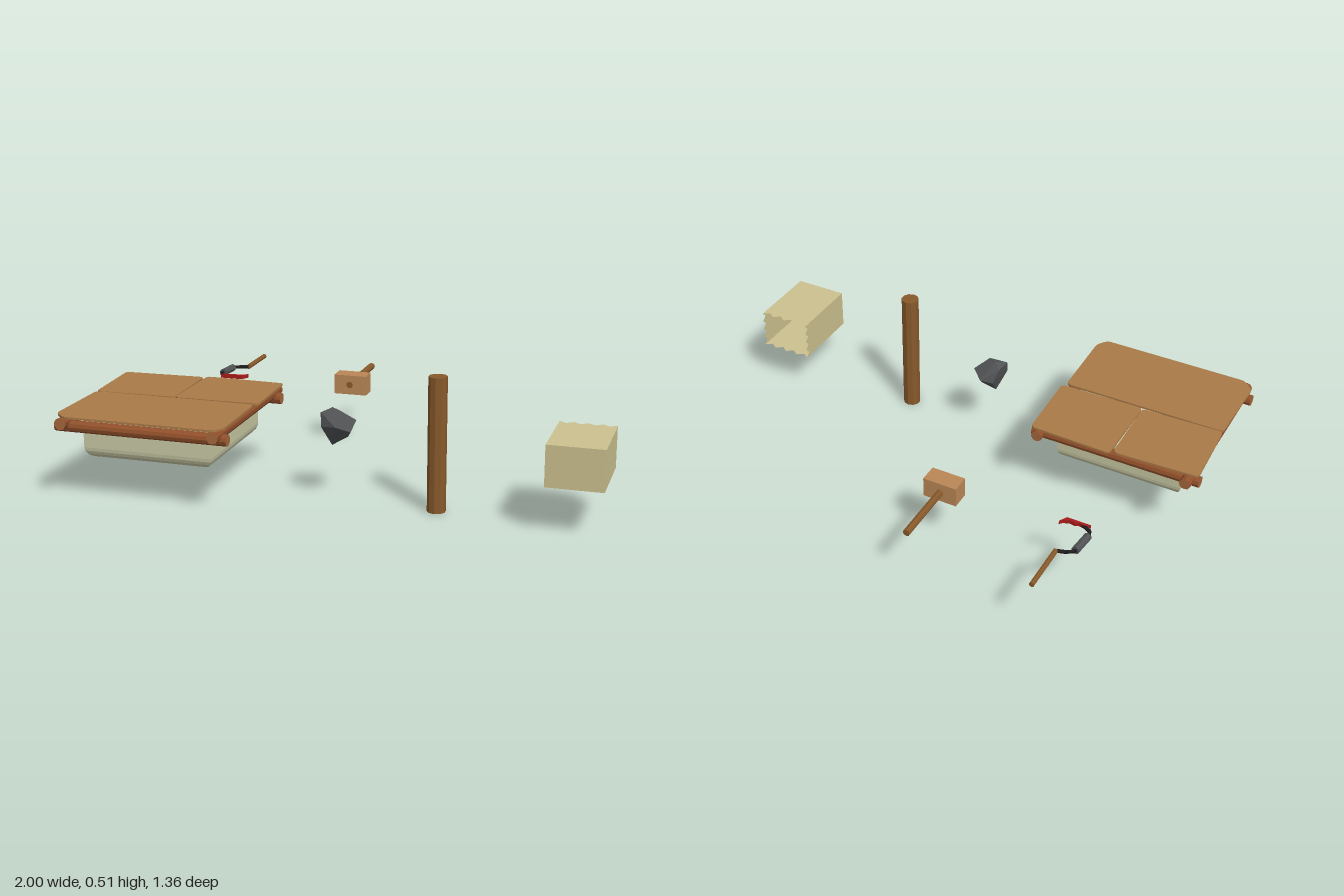
import * as THREE from 'three';
import { ConvexGeometry } from 'three/addons/geometries/ConvexGeometry.js';

const V = (x, y, z) => new THREE.Vector3(x, y, z);
const paint = (color, side = THREE.FrontSide) =>
  new THREE.MeshStandardMaterial({ color, side, flatShading: true });

export function createModel() {
  const model = new THREE.Group();
  const add = (name, geometry, material, parent = model) => {
    const mesh = new THREE.Mesh(geometry, material);
    mesh.name = name;
    parent.add(mesh);
    return mesh;
  };
  const group = (name) => {
    const g = new THREE.Group();
    g.name = name;
    model.add(g);
    return g;
  };
  // Faceted round bar between two points
  const rod = (name, a, b, r, material, parent, sides = 8) => {
    const mesh = add(name, new THREE.CylinderGeometry(r, r, a.distanceTo(b), sides), material, parent);
    mesh.position.copy(a).add(b).multiplyScalar(0.5);
    mesh.quaternion.setFromUnitVectors(V(0, 1, 0), b.clone().sub(a).normalize());
    return mesh;
  };

  const logWood = paint(0x91502b);
  const logEnd = paint(0xa5673d);
  const boardWood = paint(0xaa7a47);
  const poleWood = paint(0x87592b);
  const headWood = paint(0xba8756);
  const tubColor = paint(0xc8c8a4, THREE.DoubleSide);
  const boxColor = paint(0xcbc08e, THREE.DoubleSide);
  const iron = paint(0x505254);
  const black = paint(0x1c1c1e);
  const red = paint(0xa81c1c, THREE.DoubleSide);

  // Covered tub: log frame
  const table = group('coveredTub');
  const barkAndEnds = [logWood, logEnd, logEnd];
  for (const z of [0.06, 0.625])
    rod('crossLog', V(-1, 0.293, z), V(-0.325, 0.293, z), 0.022, barkAndEnds, table, 10);
  for (const x of [-0.96, -0.365])
    rod('sideLog', V(x, 0.311, 0), V(x, 0.311, 0.675), 0.022, barkAndEnds, table, 10);

  // Tub: square basin with a rounded bottom edge
  const profile = [new THREE.Vector2(0, 0.157)];
  for (let i = 0; i <= 5; i++) {
    const a = (i / 5) * Math.PI / 2;
    profile.push(new THREE.Vector2(0.455 + 0.045 * Math.sin(a) * 2, 0.2 - 0.043 * Math.cos(a)));
  }
  const rim = profile[profile.length - 1].x;
  profile.push(new THREE.Vector2(rim, 0.31));
  const basin = new THREE.LatheGeometry(profile, 4, Math.PI / 4);
  basin.scale(0.505 / (rim * Math.SQRT2), 1, 0.482 / (rim * Math.SQRT2));
  add('basin', basin, tubColor, table).position.set(-0.663, 0, 0.34);

  // Lid boards: thin crooked sheets with softened corners
  const boards = [
    [[-1, 0.03], [-0.67, 0.015], [-0.665, 0.312], [-0.987, 0.322]],
    [[-0.66, 0.003], [-0.335, 0.012], [-0.327, 0.31], [-0.663, 0.317]],
    [[-0.987, 0.325], [-0.34, 0.325], [-0.335, 0.63], [-0.365, 0.672], [-0.95, 0.672], [-0.993, 0.63]],
  ];
  for (const corners of boards) {
    const shape = new THREE.Shape();
    const pts = corners.map((c) => new THREE.Vector2(...c));
    pts.forEach((p, i) => {
      const toward = (q) => p.clone().add(q.clone().sub(p).setLength(0.018));
      const a = toward(pts[(i + pts.length - 1) % pts.length]);
      const b = toward(pts[(i + 1) % pts.length]);
      if (i) shape.lineTo(a.x, a.y);
      else shape.moveTo(a.x, a.y);
      shape.quadraticCurveTo(p.x, p.y, b.x, b.y);
    });
    const sheet = new THREE.ExtrudeGeometry(shape, { depth: 0.008, bevelEnabled: false, curveSegments: 3 });
    sheet.rotateX(Math.PI / 2);
    add('lidBoard', sheet, boardWood, table).position.y = 0.341;
  }

  // Upright post
  rod('post', V(0.37, 0, 0.34), V(0.37, 0.51, 0.34), 0.035, poleWood, model, 10);

  // Stone
  add('stone', new ConvexGeometry([
    V(-0.07, 0.34, 0.345), V(-0.035, 0.353, 0.31), V(0, 0.348, 0.33), V(0.05, 0.305, 0.29),
    V(0.045, 0.273, 0.347), V(-0.035, 0.21, 0.32), V(0, 0.29, 0.245), V(0, 0.3, 0.39),
    V(-0.065, 0.29, 0.36), V(-0.045, 0.275, 0.268), V(-0.06, 0.33, 0.29), V(0.02, 0.24, 0.3),
  ]), iron);

  // Mallet
  const mallet = group('mallet');
  add('malletHead', new THREE.BoxGeometry(0.135, 0.08, 0.072), headWood, mallet)
    .position.set(-0.168, 0.256, -0.366);
  rod('malletHandle', V(-0.17, 0.256, -0.652), V(-0.17, 0.256, -0.329), 0.014, poleWood, mallet);

  // Cranked tool: wooden handle, bent iron rod, thick grip, red tip
  const tool = group('crankedTool');
  const y = 0.256;
  rod('toolHandle', V(-0.675, y, -0.68), V(-0.675, y, -0.485), 0.01, poleWood, tool);
  const bend = [[-0.675, -0.486], [-0.71, -0.475], [-0.735, -0.458], [-0.745, -0.36],
    [-0.738, -0.337], [-0.705, -0.32]].map(([x, z]) => V(x, y, z));
  for (let i = 1; i < bend.length; i++)
    rod('crankRod', bend[i - 1], bend[i], 0.007, black, tool, 6);
  rod('crankGrip', V(-0.735, y, -0.452), V(-0.744, y, -0.365), 0.016, iron, tool);
  const tip = new THREE.Shape([[-0.733, -0.314], [-0.64, -0.314], [-0.622, -0.346], [-0.632, -0.334],
    [-0.655, -0.325], [-0.675, -0.328], [-0.69, -0.322], [-0.71, -0.326]]
    .map((p) => new THREE.Vector2(...p)));
  const tipGeometry = new THREE.ExtrudeGeometry(tip, { depth: 0.016, bevelEnabled: false });
  tipGeometry.rotateX(Math.PI / 2);
  add('redTip', tipGeometry, red, tool).position.y = y + 0.008;

  // Hollow carton with one torn end
  const carton = group('tornCarton');
  const [w, h, front, back] = [0.21, 0.155, 0.475, 0.182];
  const wall = (name, width, place) => {
    const s = new THREE.Shape();
    s.moveTo(-width / 2, front);
    for (let i = 0; i <= 8; i++)
      s.lineTo(-width / 2 + (width * i) / 8, back + (i % 2 ? 0.019 : 0));
    s.lineTo(width / 2, front);
    const g = new THREE.ShapeGeometry(s);
    g.rotateX(Math.PI / 2);
    place(add(name, g, boxColor, carton));
  };
  for (const side of [-1, 1]) {
    wall('cartonPanel', w, (m) => m.position.set(0.89, 0.257 + (side * h) / 2, 0));
    wall('cartonSide', h, (m) => {
      m.rotation.z = Math.PI / 2;
      m.position.set(0.89 + (side * w) / 2, 0.257, 0);
    });
  }
  add('cartonEnd', new THREE.PlaneGeometry(w, h), boxColor, carton).position.set(0.89, 0.257, front);

  return model;
}
